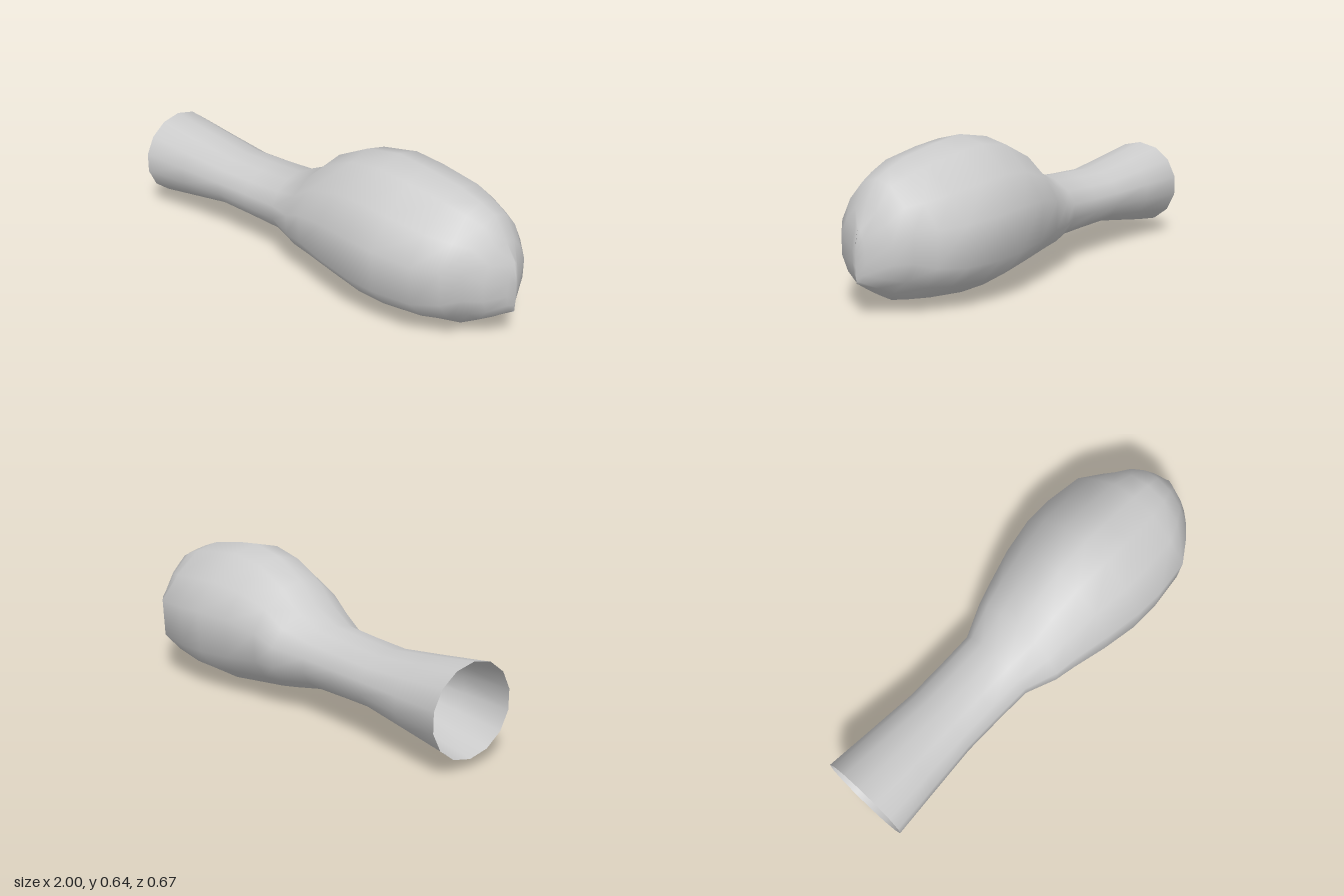
import * as THREE from 'three';
import { mergeVertices } from 'three/addons/utils/BufferGeometryUtils.js';

// Cross-sections along the length: x, bottom, top, half width, bulb shape (0 = round neck, 1 = bulb)
const SECTIONS = [
  [-1, 0.045, 0.443, 0.21, 0],
  [-0.77, 0.08, 0.407, 0.193, 0],
  [-0.54, 0.115, 0.373, 0.177, 0],
  [-0.36, 0.11, 0.378, 0.178, 0],
  [-0.18, 0.103, 0.387, 0.182, 0],
  [-0.04, 0.073, 0.45, 0.24, 0.3],
  [0.06, 0.05, 0.54, 0.263, 0.6],
  [0.22, 0.026, 0.617, 0.302, 1],
  [0.39, 0.001, 0.645, 0.332, 1],
  [0.53, 0.001, 0.628, 0.335, 1],
  [0.71, 0.02, 0.595, 0.315, 1],
  [0.81, 0.032, 0.56, 0.252, 0.8],
  [0.88, 0.068, 0.53, 0.195, 0.6],
  [0.94, 0.103, 0.435, 0.14, 0.4],
  [0.985, 0.132, 0.36, 0.035, 0.2],
  [1, 0.14, 0.29, 0, 0],
];

// Half of the bulb outline from top to bottom: [z, y] in unit size
const BULB = [[0, 1], [0.36, 0.91], [0.72, 0.56], [1, 0.18], [0.97, -0.41], [0.72, -0.71], [0.36, -0.93], [0, -1]];
const SIDES = 14;

function ringPoint(k, [x, bottom, top, halfWidth, bulb]) {
  const angle = (k / SIDES) * Math.PI * 2;
  const [bz, by] = BULB[k <= 7 ? k : SIDES - k];
  const z = THREE.MathUtils.lerp(Math.sin(angle), k <= 7 ? bz : -bz, bulb);
  const y = THREE.MathUtils.lerp(Math.cos(angle), by, bulb);
  return [x, (top + bottom) / 2 + (y * (top - bottom)) / 2, z * halfWidth];
}

// Skin stretched over the rings, open at the neck end and pinched to a ridge at the tip
function loft(sections) {
  const positions = [];
  const index = [];
  sections.forEach((section, i) => {
    for (let k = 0; k < SIDES; k++) {
      positions.push(...ringPoint(k, section));
      if (i === sections.length - 1) continue;
      const a = i * SIDES + k;
      const b = i * SIDES + ((k + 1) % SIDES);
      index.push(a, b, a + SIDES, b, b + SIDES, a + SIDES);
    }
  });
  const geometry = new THREE.BufferGeometry();
  geometry.setAttribute('position', new THREE.Float32BufferAttribute(positions, 3));
  geometry.setIndex(index);
  const merged = mergeVertices(geometry, 1e-4);
  merged.computeVertexNormals();
  return merged;
}

export function createModel() {
  const group = new THREE.Group();
  group.name = 'bulbWithNeck';
  const material = new THREE.MeshStandardMaterial({ color: 0xcccccc, side: THREE.DoubleSide });
  const body = new THREE.Mesh(loft(SECTIONS), material);
  body.name = 'bulbAndOpenNeck';
  group.add(body);
  return group;
}
